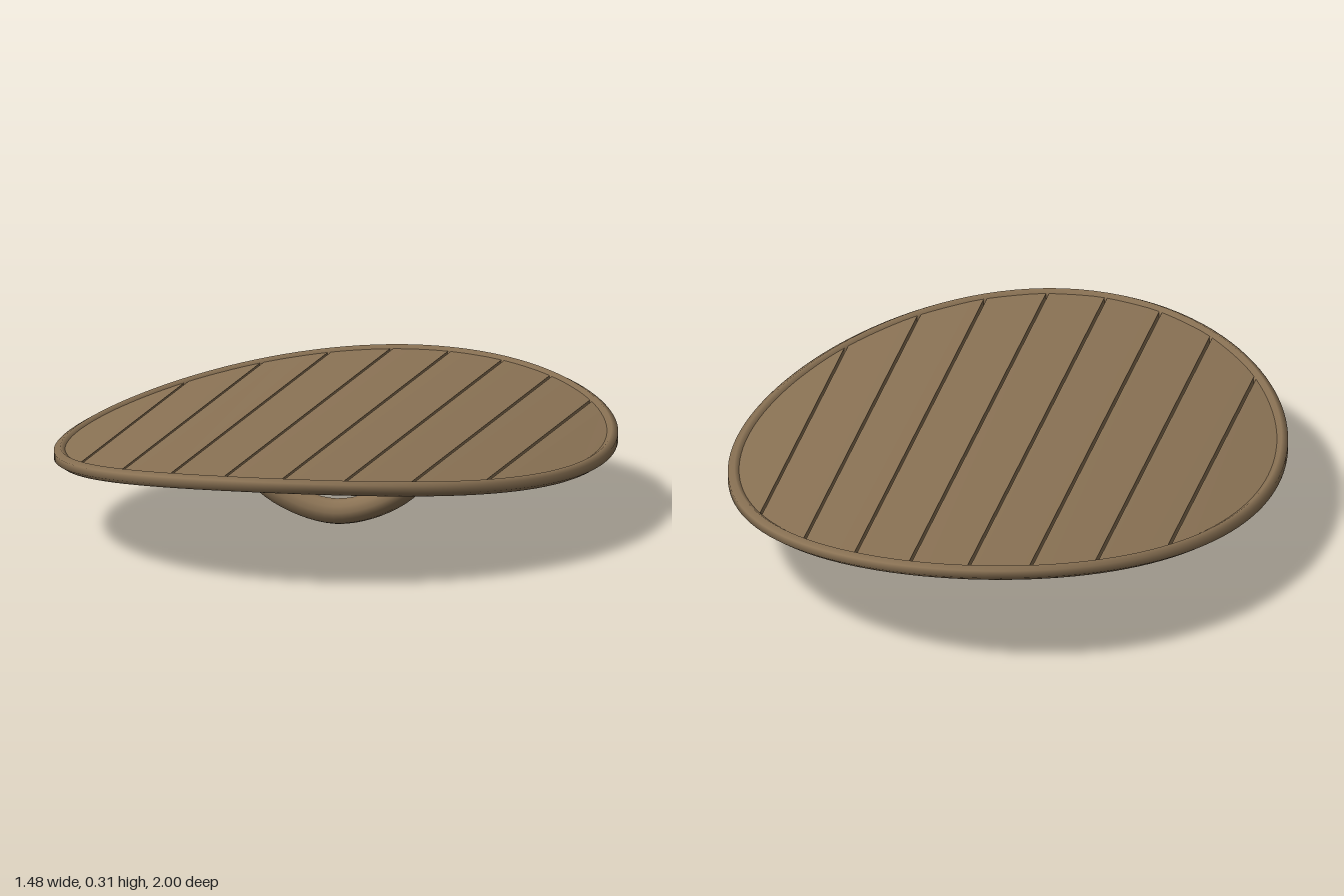
import * as THREE from 'three';

const A = 0.725, B = 0.98;                       // half width and half length of the oval
const bend = x => 0.29 - 0.15 * x * x;           // the board arches across its width
const wood = new THREE.MeshStandardMaterial({ color: 0x8b7355, side: THREE.DoubleSide });
wood.name = 'brown wood';

class RimCurve extends THREE.Curve {
  getPoint(t, target = new THREE.Vector3()) {
    const x = A * Math.cos(t * Math.PI * 2);
    return target.set(x, bend(x), B * Math.sin(t * Math.PI * 2));
  }
}

// One plank: a strip of the oval from x0 to x1, bent to the arch
function plankGeometry(x0, x1) {
  const steps = 10, side = [];
  for (let i = 0; i <= steps; i++) {
    const x = x0 + (x1 - x0) * i / steps;
    side.push([x, B * Math.sqrt(Math.max(0.0001, 1 - (x / A) ** 2))]);
  }
  const outline = [
    ...side.map(([x, z]) => new THREE.Vector2(x, -z)),
    ...side.reverse().map(([x, z]) => new THREE.Vector2(x, z)),
  ];
  const geo = new THREE.ExtrudeGeometry(new THREE.Shape(outline), { depth: 0.02, bevelEnabled: false });
  geo.rotateX(-Math.PI / 2);
  const p = geo.attributes.position;
  for (let i = 0; i < p.count; i++) p.setY(i, p.getY(i) - 0.01 + bend(p.getX(i)));
  geo.computeVertexNormals();
  return geo;
}

export function createModel() {
  const group = new THREE.Group();
  group.name = 'ovalShield';
  const add = (name, geo) => {
    const mesh = new THREE.Mesh(geo, wood);
    mesh.name = name;
    group.add(mesh);
  };

  // Nine planks with narrow gaps
  const width = 0.16, gap = 0.004;
  for (let i = -4; i <= 4; i++) {
    const x0 = (i - 0.5) * width + gap, x1 = (i + 0.5) * width - gap;
    add(`plank${i + 5}`, plankGeometry(x0, x1));
  }

  // Rim around the edge
  add('rim', new THREE.TubeGeometry(new RimCurve(), 128, 0.02, 6, true));

  // Grip underneath
  const grip = new THREE.CatmullRomCurve3(
    [[-0.262, 0.252], [-0.2, 0.115], [0, 0.036], [0.2, 0.115], [0.262, 0.252]]
      .map(([x, y]) => new THREE.Vector3(x, y, 0)));
  add('handle', new THREE.TubeGeometry(grip, 32, 0.035, 12, false));

  return group;
}
